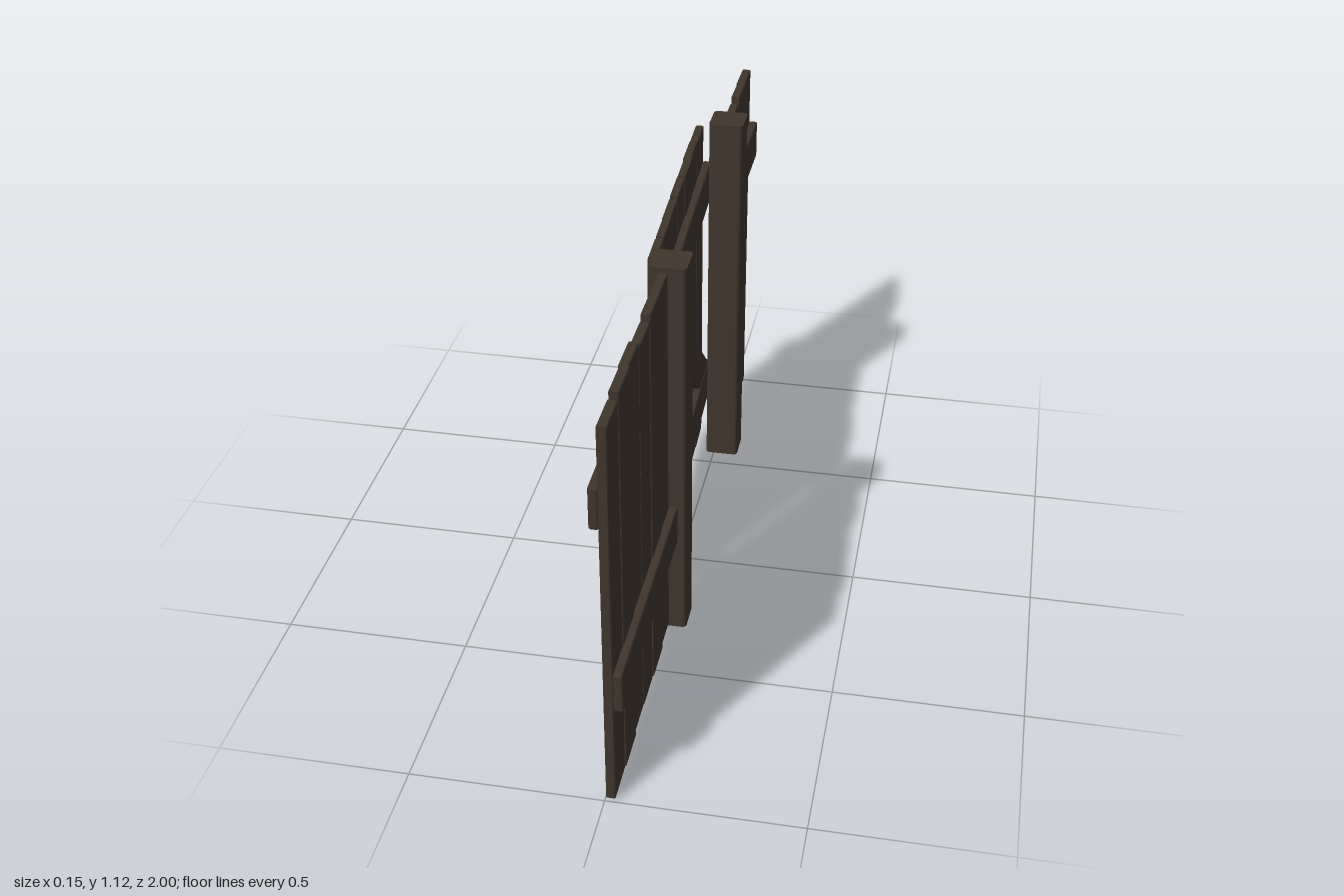
import * as THREE from 'three';
import { RoundedBoxGeometry } from 'three/addons/geometries/RoundedBoxGeometry.js';

const wood = new THREE.MeshStandardMaterial({ color: 0x40362d });
wood.name = 'dark weathered wood';

// Add a named mesh to a parent
function add(parent, name, geometry, x = 0, y = 0, z = 0) {
  const mesh = new THREE.Mesh(geometry, wood);
  mesh.name = name;
  mesh.position.set(x, y, z);
  parent.add(mesh);
  return mesh;
}

// Flat board outlined by [z, y] points, running from x to x + thickness
function board(parent, name, points, x, thickness, bevel = 0.002) {
  const shape = new THREE.Shape(points.map(([z, y]) => new THREE.Vector2(-z, y)));
  const geometry = new THREE.ExtrudeGeometry(shape, {
    depth: thickness - 2 * bevel, bevelThickness: bevel,
    bevelSize: bevel, bevelOffset: -bevel, bevelSegments: 1,
  });
  geometry.translate(0, 0, bevel).rotateY(Math.PI / 2);
  return add(parent, name, geometry, x);
}

// Row of upright planks from z = start towards -z; tapers open thin gaps
function planks(parent, start, pitch, bottom, tops, tapers, x, thickness) {
  tops.forEach((top, i) => {
    const a = start - i * pitch, b = a - pitch + 0.001;
    const shift = [0, 0.0025, -0.0015][i % 3];
    const taper = tapers[i];
    board(parent, 'plank', [
      [a, bottom], [b + taper, bottom], [b, top - 0.002], [a, top],
    ], x + shift, thickness);
  });
}

// Horizontal rail with softened edges
function rail(parent, x, y, z0, z1, height, thickness = 0.024) {
  const geometry = new RoundedBoxGeometry(thickness, height, Math.abs(z1 - z0), 2, 0.006);
  add(parent, 'rail', geometry, x, y, (z0 + z1) / 2);
}

// Square post with rounded upright edges and flat ends
function post(parent, z) {
  const h = 0.0485, r = 0.012, s = new THREE.Shape();
  s.moveTo(-h + r, -h);
  for (const [cx, cy, start] of [[1, -1, -0.5], [1, 1, 0], [-1, 1, 0.5], [-1, -1, 1]]) {
    s.absarc(cx * (h - r), cy * (h - r), r, start * Math.PI, (start + 0.5) * Math.PI, false);
  }
  const geometry = new THREE.ExtrudeGeometry(s, { depth: 1.115, bevelEnabled: false, curveSegments: 4 });
  geometry.rotateX(-Math.PI / 2);
  add(parent, 'post', geometry, 0.0245, 0, z);
}

export function createModel() {
  const model = new THREE.Group();
  model.name = 'fenceWithGate';

  // Posts
  post(model, 0.2615);
  post(model, -0.6015);

  // Long fence section: low rail on one side, high rail on the other
  const front = new THREE.Group();
  front.name = 'frontFence';
  model.add(front);
  planks(front, 0.998, 0.1155, 0.01, [1.093, 1.112, 1.107, 1.092, 1.112, 1.102],
    [0.005, 0, 0.001, 0.005, 0, 0], 0.003, 0.024);
  rail(front, 0.038, 0.345, 0.995, 0.295, 0.115);
  rail(front, -0.0095, 0.872, 0.995, 0.295, 0.115);

  // Short fence section: the rails swap sides
  const back = new THREE.Group();
  back.name = 'backFence';
  model.add(back);
  planks(back, -0.648, 0.117, 0.01, [1.092, 1.112, 1.105], [0.005, 0, 0.003], 0.003, 0.024);
  rail(back, 0.038, 0.88, -0.63, -0.997, 0.115);
  rail(back, -0.0095, 0.345, -0.63, -0.997, 0.115);

  // Gate, swung slightly open about its hinge edge
  const gate = new THREE.Group();
  gate.name = 'gate';
  gate.position.set(0, 0, 0.212);
  gate.rotation.y = 0.035;
  model.add(gate);
  planks(gate, 0, 0.12, 0.042, [1.082, 1.087, 1.077, 1.083, 1.086, 1.08, 1.078],
    [0, 0.001, 0.014, 0.001, 0, 0.002, 0], -0.045, 0.022);
  rail(gate, -0.0115, 0.908, 0, -0.84, 0.118);
  rail(gate, -0.0115, 0.238, 0, -0.84, 0.12);

  // Diagonal brace between the gate rails
  board(gate, 'diagonalBrace', [
    [-0.012, 0.849], [-0.657, 0.299], [-0.822, 0.299], [-0.185, 0.849],
  ], -0.0235, 0.022, 0.005);

  return model;
}
